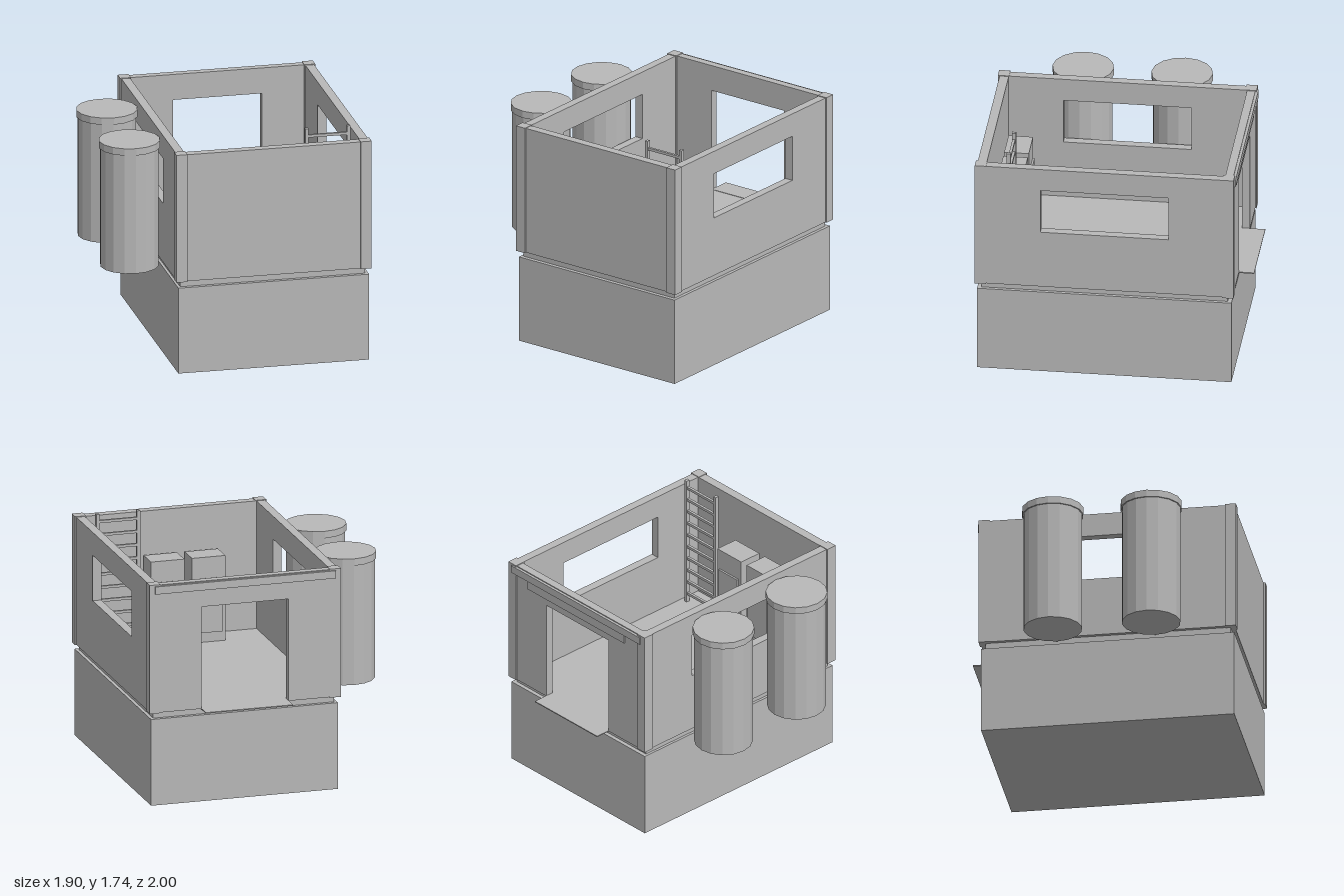
import * as THREE from 'three';

const grey = new THREE.MeshStandardMaterial({ color: 0xb8b8b8 });
grey.name = 'plainGrey';
grey.flatShading = true;

export function createModel() {
  const model = new THREE.Group();
  model.name = 'utilityCabin';

  const add = (name, geometry, parent = model) => {
    const mesh = new THREE.Mesh(geometry, grey);
    mesh.name = name;
    parent.add(mesh);
    return mesh;
  };
  // Box given by its limits along each axis
  const box = (name, x0, x1, y0, y1, z0, z1, parent = model) => {
    const mesh = add(name, new THREE.BoxGeometry(x1 - x0, y1 - y0, z1 - z0), parent);
    mesh.position.set((x0 + x1) / 2, (y0 + y1) / 2, (z0 + z1) / 2);
    return mesh;
  };
  const outline = (points) => points.map(([x, y]) => new THREE.Vector2(x, y));

  const floorY = 0.705, topY = 1.675;

  // Foundation and recessed floor slab
  box('foundation', -0.495, 0.93, 0, 0.655, -0.88, 0.985);
  box('floorSlab', -0.475, 0.905, 0.655, floorY, -0.85, 0.955);

  // Side walls, each with one wide window
  for (const [name, outerX] of [['rightWall', -0.437], ['leftWall', 0.937]]) {
    const shape = new THREE.Shape(outline([[-0.885, floorY], [0.985, floorY], [0.985, topY], [-0.885, topY]]));
    shape.holes.push(new THREE.Path(outline([[-0.42, 1.155], [-0.42, 1.5], [0.52, 1.5], [0.52, 1.155]])));
    const geometry = new THREE.ExtrudeGeometry(shape, { depth: 0.065, bevelEnabled: false });
    add(name, geometry.rotateY(-Math.PI / 2)).position.x = outerX;
  }

  // Front wall is solid, back wall has a doorway
  box('frontWall', -0.5, 0.935, floorY, topY, 0.92, 0.987);
  const back = new THREE.Shape(outline([
    [-0.5, floorY], [-0.115, floorY], [-0.115, 1.48], [0.55, 1.48],
    [0.55, floorY], [0.935, floorY], [0.935, topY], [-0.5, topY],
  ]));
  add('backWall', new THREE.ExtrudeGeometry(back, { depth: 0.06, bevelEnabled: false })).position.z = -0.888;

  // Corner posts stand slightly proud of the walls
  for (const [x0, x1] of [[-0.512, -0.43], [0.864, 0.946]])
    for (const [z0, z1] of [[-0.897, -0.815], [0.918, 1]])
      box('cornerPost', x0, x1, floorY - 0.002, 1.68, z0, z1);

  // Rails above the doorway and the door step
  box('upperDoorRail', -0.47, 0.905, 1.61, 1.668, -0.908, -0.885);
  box('lowerDoorRail', -0.29, 0.74, 1.535, 1.61, -0.896, -0.885);
  box('doorStep', -0.115, 0.55, 0.7, 0.708, -1, -0.83);

  // Two round tanks with lids
  for (const z of [-0.315, 0.41]) {
    const tank = new THREE.Group();
    tank.name = 'tank';
    tank.position.set(-0.728, 0, z);
    add('tankBody', new THREE.CylinderGeometry(0.215, 0.215, 0.91, 16), tank).position.y = 1.122;
    add('tankLid', new THREE.CylinderGeometry(0.225, 0.225, 0.053, 16), tank).position.y = 1.6025;
    model.add(tank);
  }

  // Two cabinets against the front wall, doors facing inward
  for (const x of [-0.005, 0.3075]) {
    box('cabinet', x - 0.127, x + 0.127, floorY, 1.35, 0.705, 0.885);
    box('cabinetDoor', x - 0.1, x + 0.1, 0.78, 1.19, 0.69, 0.705);
  }

  // Ladder
  const ladder = new THREE.Group();
  ladder.name = 'ladder';
  model.add(ladder);
  for (const x of [0.502, 0.814])
    box('ladderRail', x, x + 0.024, floorY, 1.735, 0.75, 0.78, ladder);
  for (let i = 0; i < 10; i++) {
    const y = 0.775 + i * 0.1;
    box('ladderRung', 0.526, 0.814, y - 0.01, y + 0.01, 0.755, 0.775, ladder);
  }

  return model;
}
